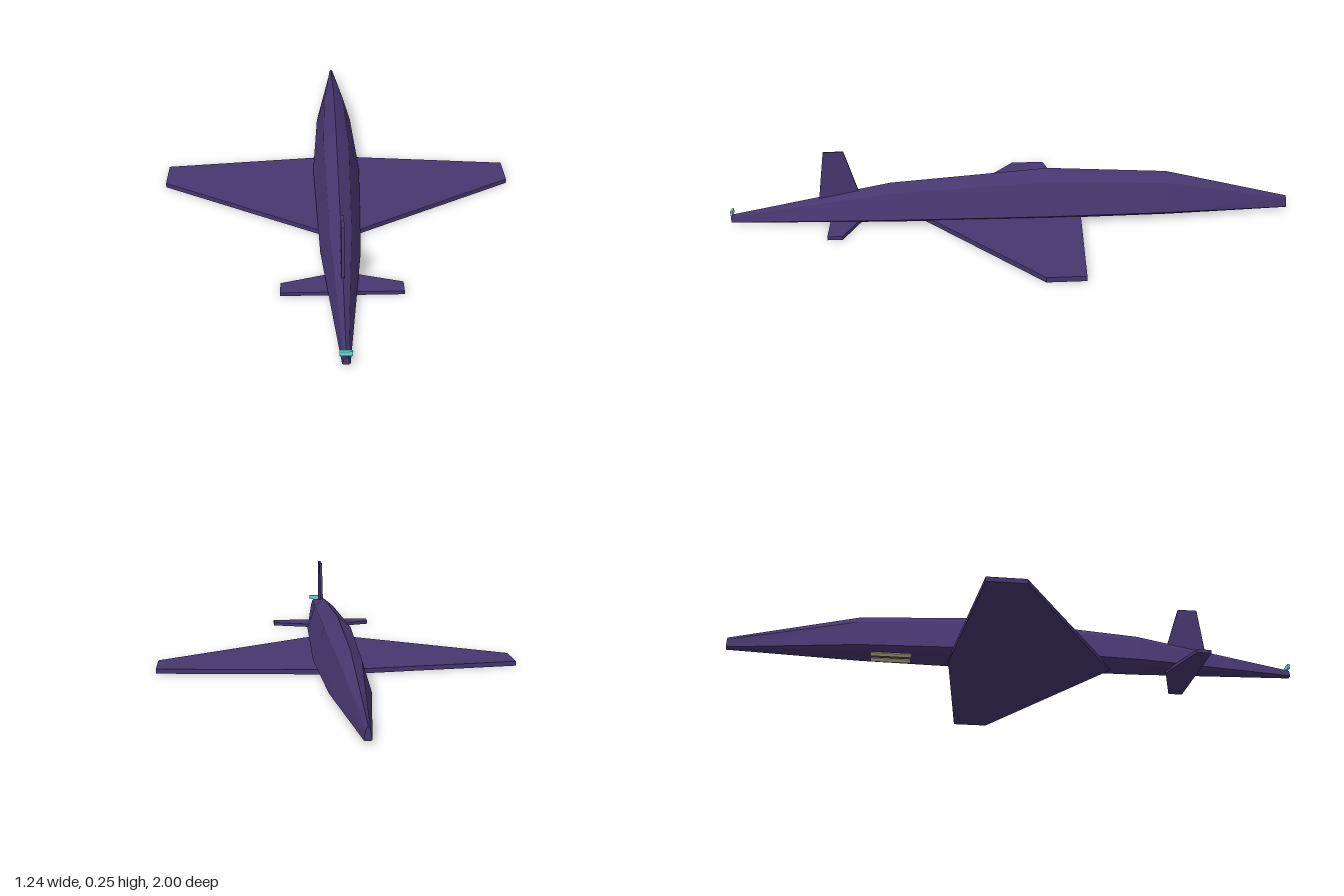
import * as THREE from 'three';

const hull = new THREE.MeshStandardMaterial({ color: 0x45376f, flatShading: true });
const glow = new THREE.MeshStandardMaterial({ color: 0x66e0e0 });
const panel = new THREE.MeshStandardMaterial({ color: 0xd8cfa0 });

// Faceted body lofted through sections of [z, half width, top height]
function fuselageGeometry() {
  const sections = [
    [1, 0.012, 0.035], [0.44, 0.066, 0.138], [-0.12, 0.085, 0.178],
    [-0.55, 0.067, 0.155], [-1, 0.012, 0.05],
  ];
  const base = 0.008;
  const rings = sections.map(([z, w, top]) => {
    const shoulder = base + (top - base) * 0.77;
    const chine = base + 0.18 * w;
    return [
      [0, top], [-0.54 * w, shoulder], [-w, chine], [-0.68 * w, base],
      [0.68 * w, base], [w, chine], [0.54 * w, shoulder],
    ].map(([x, y]) => [x, y, z]);
  });
  const n = rings[0].length;
  const out = [];
  const tri = (a, b, c) => out.push(...a, ...b, ...c);
  for (let i = 0; i < rings.length - 1; i++) {
    for (let j = 0; j < n; j++) {
      const k = (j + 1) % n;
      tri(rings[i][j], rings[i + 1][j], rings[i + 1][k]);
      tri(rings[i][j], rings[i + 1][k], rings[i][k]);
    }
  }
  // End caps
  const first = rings[0], last = rings[rings.length - 1];
  for (let j = 1; j < n - 1; j++) {
    tri(first[0], first[j], first[j + 1]);
    tri(last[0], last[j + 1], last[j]);
  }
  const geo = new THREE.BufferGeometry();
  geo.setAttribute('position', new THREE.Float32BufferAttribute(out, 3));
  geo.computeVertexNormals();
  return geo;
}

function slab(points, depth) {
  const shape = new THREE.Shape(points.map(([a, b]) => new THREE.Vector2(a, b)));
  return new THREE.ExtrudeGeometry(shape, { depth, bevelEnabled: false });
}

// Flat symmetric surface resting on y = 0, from its left half outline [x, z]
function wingGeometry(half, thickness) {
  const mirrored = half.filter(([x]) => x > 0).reverse().map(([x, z]) => [-x, z]);
  return slab([...half, ...mirrored], thickness).rotateX(Math.PI / 2).translate(0, thickness, 0);
}

export function createModel() {
  const model = new THREE.Group();
  model.name = 'aircraft';
  const add = (name, geometry, material) => {
    const mesh = new THREE.Mesh(geometry, material);
    mesh.name = name;
    model.add(mesh);
    return mesh;
  };

  add('fuselage', fuselageGeometry(), hull);
  add('wing', wingGeometry([[0, -0.24], [0.622, -0.172], [0.622, -0.045], [0, 0.335]], 0.016), hull);
  add('tailplane', wingGeometry([[0, 0.54], [0.193, 0.6], [0.193, 0.652], [0, 0.652]], 0.012), hull);

  // Upright fin, outline in [z, y]
  const fin = slab([[0.54, 0.075], [0.692, 0.075], [0.67, 0.255], [0.6, 0.255]], 0.01);
  add('fin', fin.rotateY(-Math.PI / 2).translate(0.005, 0, 0), hull);

  // Light bar at the tip
  add('tipLight', new THREE.BoxGeometry(0.038, 0.015, 0.008), glow).position.set(0, 0.045, 0.996);

  // Twin belly panels
  for (const side of [-1, 1]) {
    add(side > 0 ? 'leftBellyPanel' : 'rightBellyPanel', new THREE.BoxGeometry(0.028, 0.006, 0.14), panel)
      .position.set(side * 0.024, 0.008, -0.44);
  }
  return model;
}
